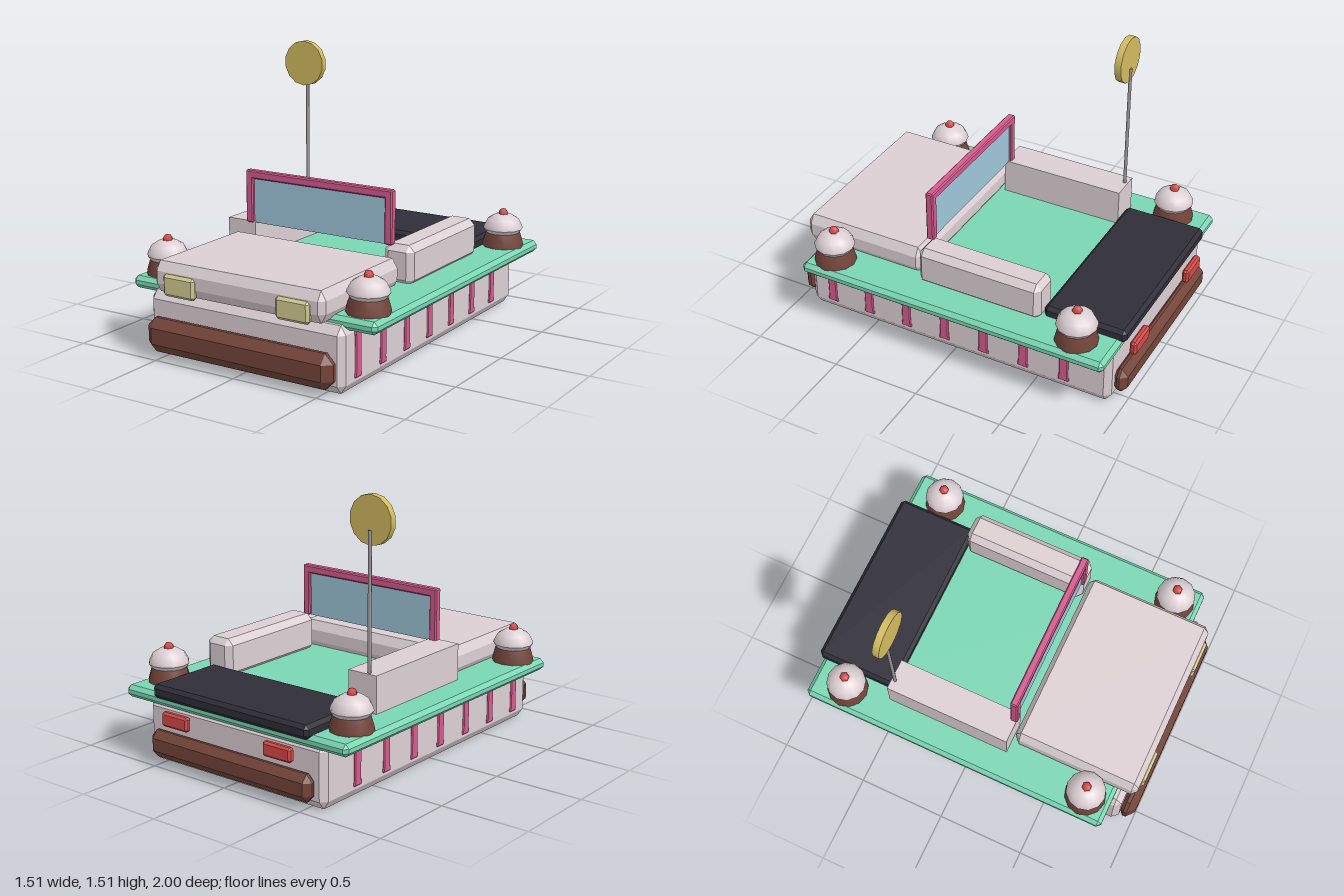
import * as THREE from 'three';
import { toCreasedNormals } from 'three/addons/utils/BufferGeometryUtils.js';
import { ConvexGeometry } from 'three/addons/geometries/ConvexGeometry.js';

const paint = (name, color) => {
  const m = new THREE.MeshStandardMaterial({ color });
  m.name = name;
  return m;
};

// Box between two corners; every edge is chamfered by (bx, by, bz).
function chamferBox([x0, x1], [y0, y1], [z0, z1], bx, by = bx, bz = bx) {
  const c = [(x0 + x1) / 2, (y0 + y1) / 2, (z0 + z1) / 2];
  const h = [(x1 - x0) / 2, (y1 - y0) / 2, (z1 - z0) / 2];
  const b = [bx, by, bz];
  const points = [];
  for (const sx of [-1, 1]) for (const sy of [-1, 1]) for (const sz of [-1, 1]) {
    const s = [sx, sy, sz];
    for (let axis = 0; axis < 3; axis++) {
      points.push(new THREE.Vector3(...s.map((sign, i) => c[i] + sign * (h[i] - (i === axis ? 0 : b[i])))));
    }
  }
  return toCreasedNormals(new ConvexGeometry(points), 0.3);
}

function box([x0, x1], [y0, y1], [z0, z1]) {
  return new THREE.BoxGeometry(x1 - x0, y1 - y0, z1 - z0)
    .translate((x0 + x1) / 2, (y0 + y1) / 2, (z0 + z1) / 2);
}

const lathe = (profile, sides) => toCreasedNormals(
  new THREE.LatheGeometry(profile.map(p => new THREE.Vector2(...p)), sides), 0.7);

export function createModel() {
  const car = new THREE.Group();
  car.name = 'cupcakeCar';
  const cream = paint('cream', 0xdccfd3);
  const mint = paint('mint', 0x7ad6b4);
  const brown = paint('chocolate', 0x74453a);
  const pink = paint('pink', 0xd65a8e);
  const glass = paint('glass', 0x9fc6da);
  const lamp = paint('lampYellow', 0xd2cb92);
  const red = paint('red', 0xd64a48);
  const gold = paint('gold', 0xd2bb60);
  const dark = paint('charcoal', 0x2f2e39);
  const metal = paint('poleGrey', 0x9d9699);

  const add = (name, geometry, material, parent = car) => {
    const mesh = new THREE.Mesh(geometry, material);
    mesh.name = name;
    parent.add(mesh);
    return mesh;
  };

  // Hull, deck, hood and rear lid
  add('body', chamferBox([-0.6, 0.6], [0, 0.35], [-0.93, 0.92], 0.03, 0.045, 0.035), cream);
  add('deck', chamferBox([-0.755, 0.755], [0.32, 0.387], [-0.95, 0.865], 0.022), mint);
  add('hood', chamferBox([-0.525, 0.525], [0.365, 0.532], [0.24, 0.975], 0.03, 0.05, 0.03), cream);
  add('rearLid', chamferBox([-0.53, 0.53], [0.365, 0.442], [-0.975, -0.505], 0.02), dark);

  // Bumpers
  add('frontBumper', chamferBox([-0.575, 0.575], [0.035, 0.222], [0.9, 1.0], 0.048, 0.05, 0.04), brown);
  add('rearBumper', chamferBox([-0.55, 0.55], [0.04, 0.19], [-0.995, -0.91], 0.035, 0.04, 0.035), brown);

  // Lamps
  for (const s of [-1, 1]) {
    add('headlight', chamferBox([s * 0.35 - 0.1, s * 0.35 + 0.1], [0.357, 0.475], [0.95, 0.992], 0.015), lamp);
    add('tailLight', chamferBox([s * 0.35 - 0.092, s * 0.35 + 0.092], [0.235, 0.315], [-1, -0.96], 0.012), red);
  }

  // Stripes along both flanks
  for (const s of [-1, 1]) for (let i = 0; i < 7; i++) {
    const z = 0.775 - i * 0.24;
    const x = [s * 0.597 - 0.01, s * 0.597 + 0.01];
    add('sideStripe', chamferBox(x, [0.06, 0.31], [z - 0.027, z + 0.027], 0.006), pink);
    for (const y of [0.075, 0.295]) {
      add('stripeEnd', chamferBox(x, [y - 0.015, y + 0.015], [z - 0.032, z + 0.032], 0.006), pink);
    }
  }

  // Side walls of the cockpit: one square, one softened
  add('rightArmrest', box([-0.59, -0.41], [0.38, 0.591], [-0.5, 0.225]), cream);
  add('leftArmrest', chamferBox([0.408, 0.585], [0.37, 0.59], [-0.505, 0.225], 0.035, 0.035, 0.03), cream);

  // Windshield
  const z = [0.188, 0.232];
  for (const s of [-1, 1]) {
    add('windshieldPost', chamferBox([s * 0.443 - 0.023, s * 0.443 + 0.023], [0.583, 0.878], z, 0.007), pink);
  }
  add('windshieldTop', chamferBox([-0.466, 0.466], [0.832, 0.878], z, 0.007), pink);
  add('windshieldGlass', box([-0.425, 0.425], [0.583, 0.838], [0.205, 0.215]), glass);

  // Cupcakes at the four corners
  const cup = lathe([[0, 0], [0.116, 0], [0.114, 0.02], [0.094, 0.09], [0, 0.09]], 12);
  const frosting = lathe([[0, 0.075], [0.093, 0.078], [0.111, 0.105], [0.108, 0.12],
    [0.088, 0.158], [0.05, 0.182], [0, 0.19]], 12);
  const cherry = new THREE.SphereGeometry(0.028, 6, 5).translate(0, 0.19, 0);
  for (const x of [-0.627, 0.627]) for (const cz of [0.72, -0.745]) {
    const cupcake = new THREE.Group();
    cupcake.name = 'cupcake';
    cupcake.position.set(x, 0.383, cz);
    add('cakeCup', cup, brown, cupcake);
    add('frosting', frosting, cream, cupcake);
    add('cherry', cherry, red, cupcake);
    car.add(cupcake);
  }

  // Pole with a round sign
  add('pole', new THREE.CylinderGeometry(0.01, 0.01, 0.75, 8).translate(-0.53, 0.95, -0.48), metal);
  const disc = toCreasedNormals(new THREE.CylinderGeometry(0.13, 0.13, 0.038, 14), 0.7);
  add('sign', disc.rotateX(Math.PI / 2).translate(-0.53, 1.376, -0.459), gold);

  return car;
}
